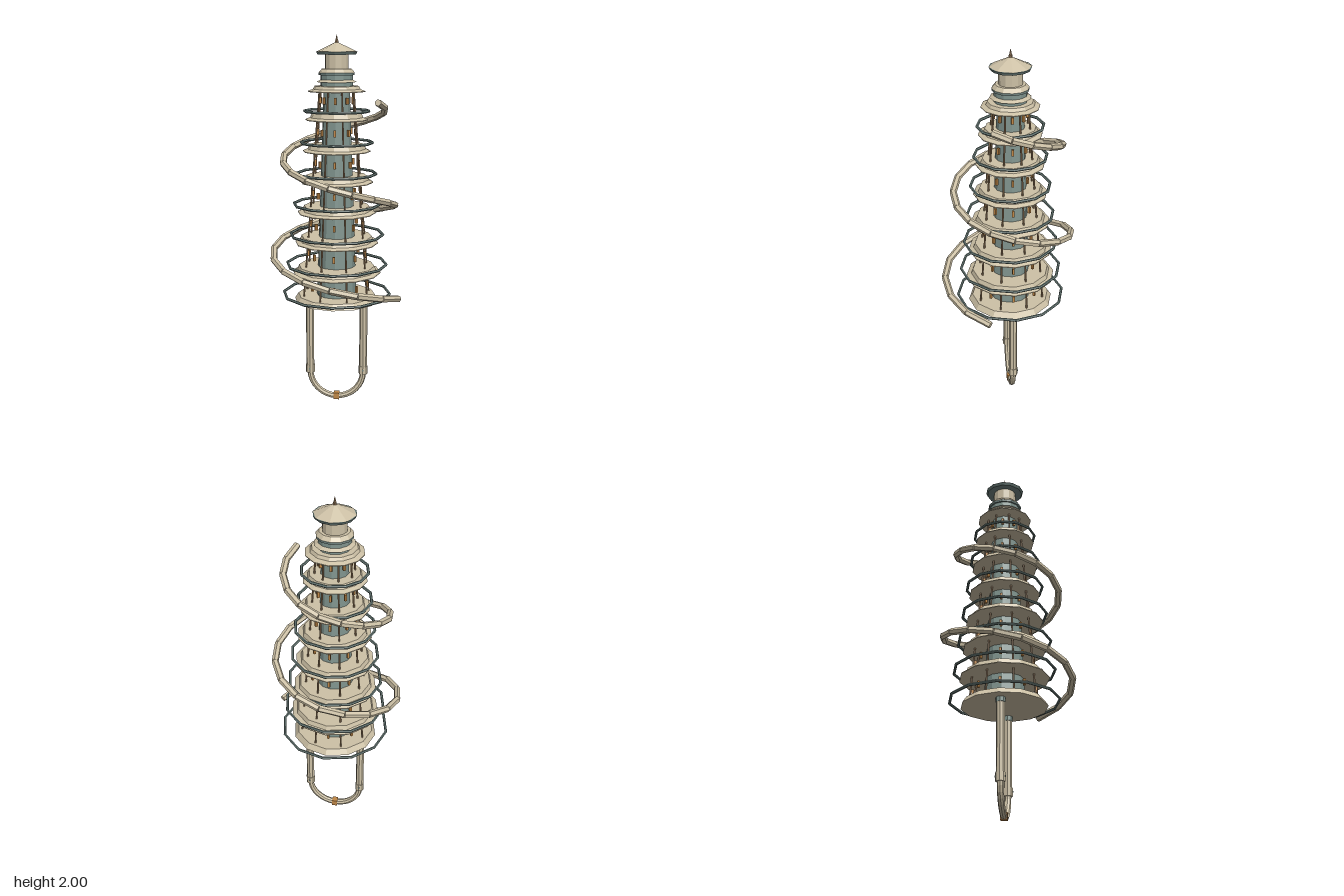
import * as THREE from 'three';

const mat = (name, color) => {
  const m = new THREE.MeshStandardMaterial({ color, flatShading: true });
  m.name = name;
  return m;
};

export function createModel() {
  const root = new THREE.Group();
  root.name = 'spiralTower';
  const cream = mat('cream', 0xcdc1a6);
  const teal = mat('teal', 0x81958f);
  const slate = mat('slate', 0x70837f);
  const orange = mat('orange', 0xc08848);
  const brown = mat('brown', 0x9c7f5f);

  const add = (name, geo, material, x = 0, y = 0, z = 0, parent = root) => {
    const mesh = new THREE.Mesh(geo, material);
    mesh.name = name;
    mesh.position.set(x, y, z);
    parent.add(mesh);
    return mesh;
  };
  // Upright cylinder or frustum between two heights
  const drum = (name, rTop, rBottom, y0, y1, sides, material, x = 0) =>
    add(name, new THREE.CylinderGeometry(rTop, rBottom, y1 - y0, sides), material, x, (y0 + y1) / 2, 0);
  // Rod joining two points
  const rod = (name, a, b, r, sides, material, parent) => {
    const d = b.clone().sub(a);
    const m = add(name, new THREE.CylinderGeometry(r, r, d.length(), sides), material, 0, 0, 0, parent);
    m.position.copy(a).add(b).multiplyScalar(0.5);
    m.quaternion.setFromUnitVectors(new THREE.Vector3(0, 1, 0), d.normalize());
    return m;
  };
  const polar = (r, angle, y) => new THREE.Vector3(Math.cos(angle) * r, y, Math.sin(angle) * r);

  // Deck with sloping sides and a thin flared eave around its lower edge
  const deck = (name, eave, y0, y1) => {
    const pts = [[0, y0], [eave, y0], [eave, y0 + 0.004], [eave - 0.025, y0 + 0.014], [eave - 0.034, y1], [0, y1]]
      .map(p => new THREE.Vector2(p[0], p[1]));
    add(name, new THREE.LatheGeometry(pts, 12), cream);
  };

  // Central core and base
  drum('core', 0.068, 0.108, 0.6, 1.74, 12, teal);
  drum('base', 0.21, 0.23, 0.585, 0.615, 12, cream);

  // Seven storeys: deck, railing, leaning columns and hanging lanterns
  const columnRadius = y => 0.185 - (y - 0.62) * 0.083;
  for (let i = 0; i < 7; i++) {
    const y = 0.62 + 0.165 * i;
    if (i > 0) deck('deck', 0.255 - 0.015 * i, y - 0.047, y - 0.01);
    const rail = add('railing', new THREE.TorusGeometry(0.29 - 0.02 * i, 0.0075, 6, 12), slate, 0, y, 0);
    rail.rotation.x = Math.PI / 2;
    const storey = new THREE.Group();
    storey.name = 'storeyPosts';
    root.add(storey);
    for (let k = 0; k < 8; k++) {
      const a = (k / 8) * Math.PI * 2;
      const post = a + Math.PI / 8;
      const top = y + 0.12;
      rod('column', polar(columnRadius(y), post, y - 0.01), polar(columnRadius(top), post, top), 0.005, 6, brown, storey);
      const p = polar(columnRadius(y) - 0.018, a, y + 0.055);
      const lantern = add('lantern', new THREE.BoxGeometry(0.012, 0.034, 0.012), orange, p.x, p.y, p.z, storey);
      lantern.rotation.y = -a;
    }
  }

  // Crown: stepped roofs, lantern room, cap and spire
  deck('upperRoof', 0.15, 1.71, 1.74);
  drum('crownBand', 0.085, 0.085, 1.735, 1.762, 12, teal);
  drum('crownStep', 0.085, 0.105, 1.76, 1.772, 12, cream);
  drum('crownBand', 0.085, 0.085, 1.772, 1.796, 12, teal);
  drum('crownEdge', 0.094, 0.094, 1.796, 1.808, 12, slate);
  drum('crownStep', 0.078, 0.095, 1.808, 1.828, 12, cream);
  drum('lanternRoom', 0.062, 0.062, 1.828, 1.905, 12, cream);
  drum('capTrim', 0.108, 0.1, 1.9, 1.915, 12, slate);
  drum('cap', 0.012, 0.106, 1.915, 1.96, 8, cream);
  drum('spireFoot', 0.009, 0.009, 1.955, 1.972, 6, brown);
  drum('spire', 0.001, 0.008, 1.97, 2.0, 6, brown);

  // Spiral tube: straight lengths making two narrowing turns
  const spiral = new THREE.Group();
  spiral.name = 'spiralTube';
  root.add(spiral);
  const spiralPoint = i => polar(0.37 - 0.12 * i / 32, Math.PI / 8 + i * 0.3954, 0.637 + 1.025 * i / 32);
  for (let i = 0; i < 32; i++) {
    rod('tubeLength', spiralPoint(i), spiralPoint(i + 1), 0.0185, 6, cream, spiral);
  }

  // Twin legs with collars and bolts, joined by a curved foot
  for (const s of [-1, 1]) {
    const x = s * 0.148;
    drum('leg', 0.022, 0.022, 0.16, 0.585, 8, cream, x);
    drum('legTopCollar', 0.025, 0.025, 0.56, 0.585, 8, teal, x);
    drum('legFootCollar', 0.025, 0.025, 0.155, 0.2, 8, cream, x);
    for (const z of [-0.024, 0.024]) {
      add('bolt', new THREE.BoxGeometry(0.008, 0.008, 0.006), slate, x, 0.18, z);
    }
  }
  const foot = add('curvedFoot', new THREE.TorusGeometry(0.148, 0.017, 8, 16, Math.PI), cream, 0, 0.165, 0);
  foot.rotation.z = Math.PI;
  add('footClamp', new THREE.BoxGeometry(0.03, 0.036, 0.036), orange, 0, 0.019, 0);

  // The spiral is wider at the front, so shift the tower axis back
  root.children.forEach(c => { c.position.z -= 0.016; });
  return root;
}
